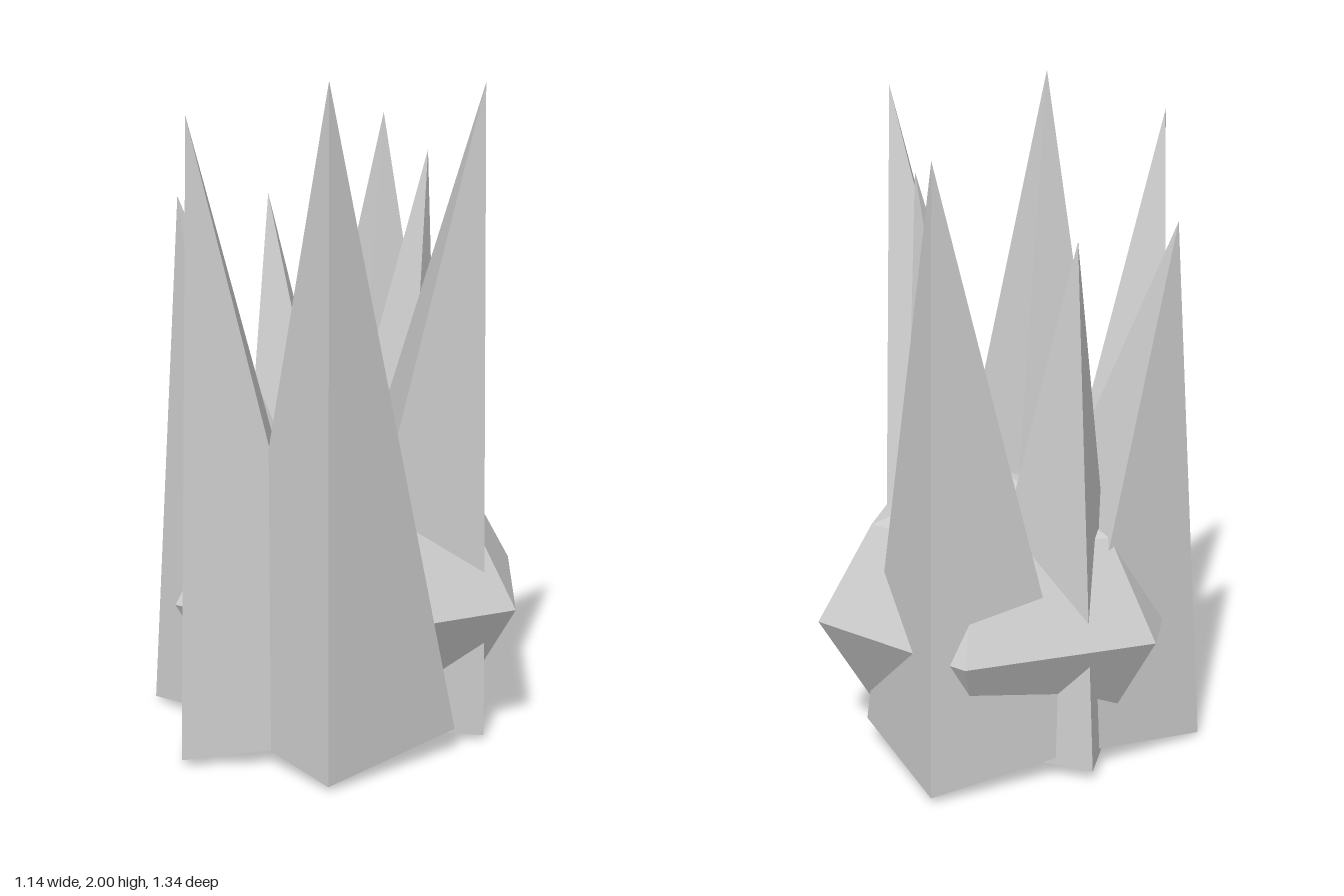
import * as THREE from 'three';

export function createModel() {
  const model = new THREE.Group();
  model.name = 'spikyCrystalRock';
  const stone = new THREE.MeshStandardMaterial({ color: 0xcccccc, flatShading: true });
  stone.name = 'paleGreyStone';

  // All parts are arranged around this off-centre axis
  const cluster = new THREE.Group();
  cluster.name = 'cluster';
  cluster.position.set(0.057, 0, -0.06);
  model.add(cluster);

  // Squashed six-sided boulder at the core
  const boulder = new THREE.Mesh(new THREE.SphereGeometry(0.596, 6, 4), stone);
  boulder.name = 'boulder';
  boulder.scale.y = 0.415 / 0.596;
  boulder.position.y = 0.415;
  boulder.rotation.y = Math.PI / 2;
  cluster.add(boulder);

  // Four-sided spikes leaning outward, one corner facing out:
  // direction [x, z], distance of base and tip from the axis, tip height, base radius
  const spikes = [
    [0.403, 0.275, 0.17, 0.488, 1.985, 0.35],
    [-0.027, 0.695, 0.38, 0.695, 2.0, 0.35],
    [-0.437, 0.515, 0.39, 0.675, 1.9, 0.34],
    [-0.532, -0.012, 0.267, 0.532, 1.63, 0.365],
    [-0.277, -0.312, 0.21, 0.416, 1.615, 0.31],
    [0.09, -0.55, 0.276, 0.557, 1.865, 0.351],
    [0.238, -0.105, 0.05, 0.26, 1.77, 0.28],
  ];
  const baseY = 0.07;
  spikes.forEach(([dx, dz, baseDist, tipDist, tipY, radius], i) => {
    const rise = tipY - baseY;
    const lean = tipDist - baseDist;
    const height = Math.hypot(rise, lean);
    const geometry = new THREE.ConeGeometry(radius, height, 4);
    geometry.translate(0, height / 2, 0);
    const spike = new THREE.Mesh(geometry, stone);
    spike.name = `spike${i + 1}`;
    const yaw = Math.atan2(dx, dz);
    spike.rotation.set(Math.atan2(lean, rise), yaw, 0, 'YXZ');
    spike.position.set(Math.sin(yaw) * baseDist, baseY, Math.cos(yaw) * baseDist);
    cluster.add(spike);
  });

  return model;
}
